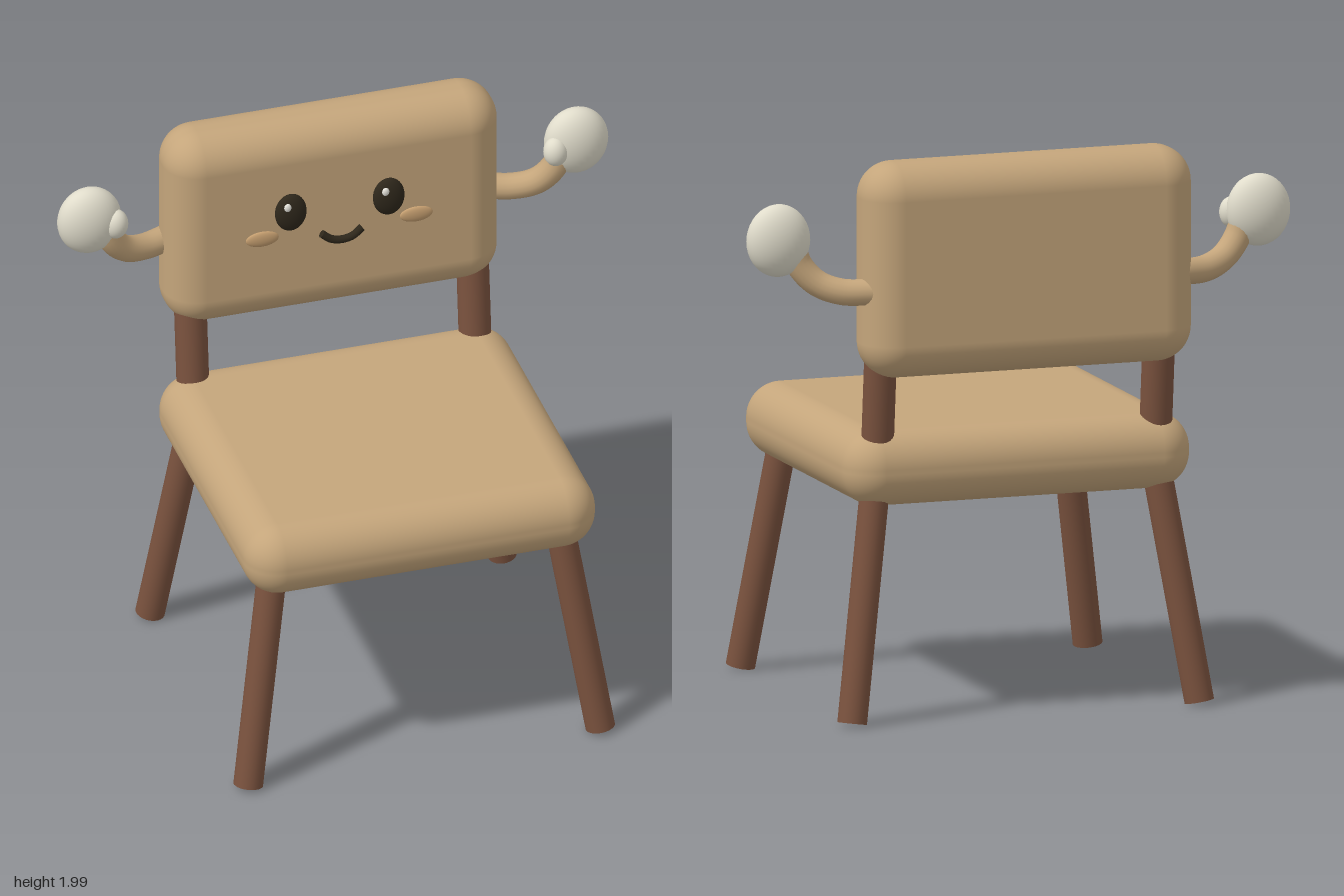
import * as THREE from 'three';
import { RoundedBoxGeometry } from 'three/addons/geometries/RoundedBoxGeometry.js';

const material = (name, color) => new THREE.MeshStandardMaterial({ name, color });

export function createModel() {
  const model = new THREE.Group();
  model.name = 'friendlyChair';

  const tan = material('tan cushion', 0xc4a57b);
  const wood = material('brown wood', 0x7a523e);
  const cream = material('cream glove', 0xe0dccb);
  const dark = material('dark face', 0x2e271b);
  const blush = material('cheek blush', 0xc69f70);
  const white = material('eye shine', 0xf4f2ea);

  const add = (name, geometry, mat, position = [0, 0, 0]) => {
    const mesh = new THREE.Mesh(geometry, mat);
    mesh.name = name;
    mesh.position.set(...position);
    model.add(mesh);
    return mesh;
  };
  const ellipsoid = (name, radii, mat, position) => {
    const mesh = add(name, new THREE.SphereGeometry(1, 32, 20), mat, position);
    mesh.scale.set(...radii);
    return mesh;
  };
  // Cylinder running between two points
  const rod = (name, from, to, radius) => {
    const a = new THREE.Vector3(...from);
    const b = new THREE.Vector3(...to);
    const dir = b.clone().sub(a);
    const mid = a.clone().add(b).multiplyScalar(0.5);
    const mesh = add(name, new THREE.CylinderGeometry(radius, radius, dir.length(), 24), wood, mid.toArray());
    mesh.quaternion.setFromUnitVectors(new THREE.Vector3(0, 1, 0), dir.normalize());
  };
  const tube = (name, points, radius, mat) => {
    const curve = new THREE.CatmullRomCurve3(points.map((p) => new THREE.Vector3(...p)));
    add(name, new THREE.TubeGeometry(curve, 24, radius, 16), mat);
    // Flat discs close both ends
    [0, 1].forEach((t) => {
      const cap = add(name + 'End', new THREE.CircleGeometry(radius, 16), mat, curve.getPoint(t).toArray());
      const outward = curve.getTangent(t).multiplyScalar(t ? 1 : -1);
      cap.quaternion.setFromUnitVectors(new THREE.Vector3(0, 0, 1), outward);
    });
  };

  // Padded seat and backrest
  add('seat', new RoundedBoxGeometry(1.275, 0.267, 1.22, 8, 0.125), tan, [0, 0.887, 0.055]);
  add('backrest', new RoundedBoxGeometry(1.21, 0.762, 0.27, 8, 0.125), tan, [0, 1.605, -0.531]);

  [[-1, 'right'], [1, 'left']].forEach(([s, side]) => {
    // Splayed legs and backrest posts
    rod(side + 'FrontLeg', [s * 0.64, 0.01, 0.614], [s * 0.512, 0.87, 0.505], 0.052);
    rod(side + 'BackLeg', [s * 0.64, 0.01, -0.552], [s * 0.512, 0.87, -0.442], 0.052);
    rod(side + 'BackPost', [s * 0.513, 0.92, -0.452], [s * 0.513, 1.38, -0.498], 0.057);

    // Raised arm with a mitten hand
    tube(side + 'Arm', [
      [s * 0.56, 1.535, -0.57], [s * 0.67, 1.535, -0.53], [s * 0.75, 1.565, -0.495],
      [s * 0.805, 1.625, -0.475], [s * 0.835, 1.7, -0.47],
    ], 0.047, tan);
    ellipsoid(side + 'Hand', [0.115, 0.128, 0.074], cream, [s * 0.885, 1.72, -0.474]);
    ellipsoid(side + 'Thumb', [0.044, 0.055, 0.042], cream, [s * 0.8, 1.71, -0.437]);

    // Eye with a shine, and a cheek
    ellipsoid(side + 'Eye', [0.057, 0.073, 0.03], dark, [s * 0.178, 1.67, -0.39]);
    ellipsoid(side + 'EyeShine', [0.013, 0.016, 0.008], white, [s * 0.178 - 0.018, 1.705, -0.366]);
    ellipsoid(side + 'Cheek', [0.06, 0.03, 0.012], blush, [s * 0.28, 1.575, -0.395]);
  });

  // Smile
  tube('mouth', [
    [-0.073, 1.576, -0.366], [-0.04, 1.551, -0.363], [0, 1.543, -0.362],
    [0.04, 1.551, -0.363], [0.073, 1.576, -0.366],
  ], 0.014, dark);

  return model;
}
